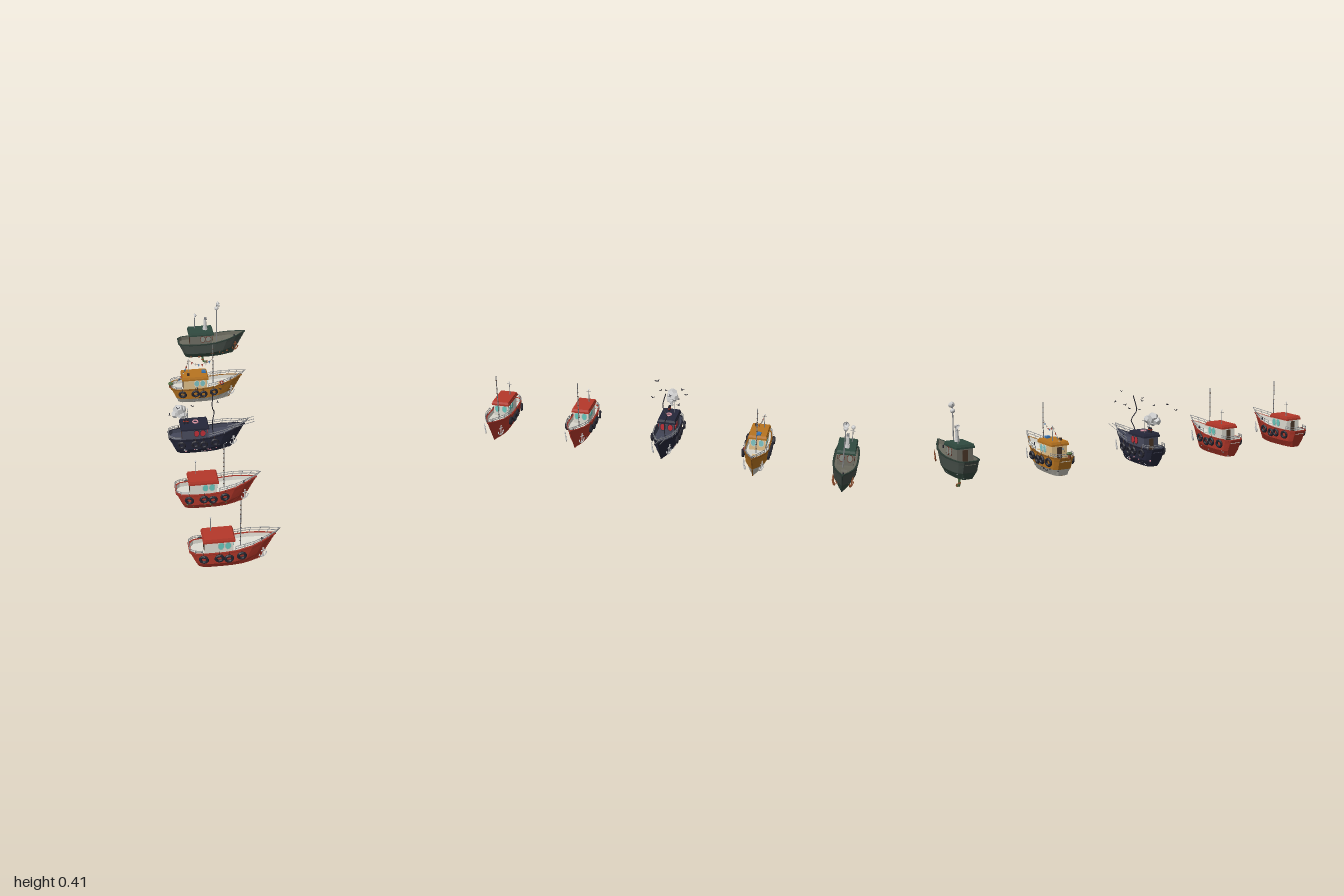
import * as THREE from 'three';

const { lerp } = THREE.MathUtils;
const mat = (color) => new THREE.MeshStandardMaterial({ color, flatShading: true, side: THREE.DoubleSide });
const GREY = mat(0xcccccc), STEEL = mat(0x85878a), DARK = mat(0x24242e), WOOD = mat(0x4a3528), RED = mat(0xb5382a),
  WHITE = mat(0xdedcd2), TEAL = mat(0x68c8bd), BLUE = mat(0x3a78b8), RUST = mat(0x8a4a2a), GREEN = mat(0x4f6a3f), PINK = mat(0xd08a98);

function add(parent, name, geo, material, x = 0, y = 0, z = 0) {
  const m = new THREE.Mesh(geo, material);
  m.name = name;
  m.position.set(x, y, z);
  parent.add(m);
  return m;
}
const box = (w, h, d) => new THREE.BoxGeometry(w, h, d);
const cyl = (r1, r2, h, n = 8) => new THREE.CylinderGeometry(r1, r2, h, n);
const V = (p) => new THREE.Vector3(...p);
const tube = (pts, r, tension = 0.5, n = 24) =>
  new THREE.TubeGeometry(new THREE.CatmullRomCurve3(pts.map(V), false, 'catmullrom', tension), n, r, 5);
function seeded(s) { return () => (s = (s * 16807) % 2147483647) / 2147483647; }

// Hull shape: u runs stern to bow, f runs keel to sheer
const STATIONS = [[0, .034], [.06, .052], [.2, .06], [.4, .061], [.55, .06], [.72, .051], [.87, .029], [.95, .012], [1, .001]];
const sheer = (u) => 0.137 + 0.041 * Math.pow(Math.max(0, (u - 0.4) / 0.6), 1.4);
function topWidth(u) {
  let i = 0;
  while (i < STATIONS.length - 2 && u > STATIONS[i + 1][0]) i++;
  const [a, b] = [STATIONS[i], STATIONS[i + 1]];
  return lerp(a[1], b[1], (u - a[0]) / (b[0] - a[0]));
}
function hullPoint(u, f) {
  const s = f < .36 ? lerp(.6, .94, f / .36) : lerp(.94, 1, (f - .36) / .64);
  return [lerp(lerp(-.225, -.265, f), lerp(.055, .125, f), u), lerp(.043, sheer(u), f), topWidth(u) * s];
}
// Row of outline points: [f, sideways offset, height offset]
function row([f, out, up]) {
  const port = STATIONS.map(([u]) => {
    const [x, y, w] = hullPoint(u, f);
    return [x + (u === 0 ? -out : u === 1 ? out * 1.5 : 0), y + up, Math.max(.0008, w + out)];
  });
  return [...port, ...port.slice().reverse().map(([x, y, z]) => [x, y, -z])];
}
function loft(specs, cap) {
  const rows = specs.map(row), n = rows[0].length, pos = [];
  const quad = (a, b, c, d) => pos.push(...a, ...b, ...c, ...a, ...c, ...d);
  for (let k = 0; k < rows.length - 1; k++)
    for (let i = 0; i < n; i++) {
      const j = (i + 1) % n;
      quad(rows[k][i], rows[k][j], rows[k + 1][j], rows[k + 1][i]);
    }
  if (cap) {
    const r = cap === 'top' ? rows[rows.length - 1] : rows[0];
    for (let i = 0; i < n / 2 - 1; i++) {
      const q = [r[i], r[i + 1], r[n - 2 - i], r[n - 1 - i]];
      quad(...(cap === 'top' ? q : q.reverse()));
    }
  }
  const g = new THREE.BufferGeometry();
  g.setAttribute('position', new THREE.Float32BufferAttribute(pos, 3));
  g.computeVertexNormals();
  return g;
}

function railing(boat, name, us, lift, bowOut, material) {
  const at = (u, side, h) => {
    const [x, y, w] = hullPoint(u, 1);
    return [x + bowOut * Math.max(0, u - .6) / .4 * h / lift, y + h, side * w];
  };
  const ends = name === 'bowRail' ? us : us.slice().reverse();
  for (const h of [lift, lift * .55]) {
    const path = [...ends.map((u) => at(u, 1, h)), ...ends.slice().reverse().map((u) => at(u, -1, h))];
    add(boat, name, tube(path, .0016, .1, 36), material);
  }
  for (const u of us) for (const s of [1, -1])
    add(boat, name + 'Post', tube([at(u, s, 0), at(u, s, lift)], .0015, .5, 1), material);
}

function anchor(boat, side, material) {
  const g = new THREE.Group();
  g.name = 'anchor';
  add(g, 'anchorShank', cyl(.003, .003, .046, 6), material);
  add(g, 'anchorStock', box(.022, .004, .004), material, 0, .014);
  add(g, 'anchorRing', new THREE.TorusGeometry(.005, .0015, 5, 8), material, 0, .027);
  add(g, 'anchorArms', new THREE.TorusGeometry(.018, .003, 5, 10, Math.PI), material, 0, -.006).rotation.z = Math.PI;
  for (const s of [1, -1]) add(g, 'anchorFluke', new THREE.ConeGeometry(.005, .011, 4), material, s * .018, -.003);
  g.position.set(.064, .107, side * .044);
  g.rotation.set(side * .12, side * .42, 0);
  boat.add(g);
}

function cabin(boat, o) {
  add(boat, 'cabin', box(.127, .085, .082), mat(o.wall), -.134, .147, 0);
  add(boat, 'roofEdge', box(.145, .009, .096), mat(o.roof), -.134, .19, 0);
  const top = cyl(.66, .7071, 1, 4).rotateY(Math.PI / 4).scale(.143, .011, .094);
  add(boat, 'roof', top, mat(o.roof), -.134, .2, 0);
  // Eight-sided windows with frames, on both sides and the front
  const pane = (d, k) => cyl(.5, .5, 1, 8).rotateY(Math.PI / 8).rotateX(Math.PI / 2).scale(.026 * k, .037 * k, d);
  const window = (x, z, ry) => {
    add(boat, 'windowFrame', pane(.004, 1.2), mat(o.frame), x, .163, z).rotation.y = ry;
    add(boat, 'windowPane', pane(.006, 1), mat(o.glass), x, .163, z).rotation.y = ry;
  };
  for (const s of [1, -1]) for (const x of [-.126, -.094]) window(x, s * .0415, 0);
  for (const z of [-.02, .02]) window(-.07, z, Math.PI / 2);
  add(boat, 'cabinDoor', box(.003, .058, .026), WOOD, -.198, .15, 0);
  // Small signal mast on the roof
  add(boat, 'roofMast', cyl(.0015, .0025, .08, 6), STEEL, -.165, .243, -.02);
  add(boat, 'roofMastLamp', new THREE.ConeGeometry(.005, .007, 6), GREY, -.165, .282, -.02);
  add(boat, 'roofMastSpar', box(.002, .002, .024), STEEL, -.165, .268, -.02);
}

function makeBoat(name, o) {
  const boat = new THREE.Group();
  boat.name = name;
  add(boat, 'lowerHull', loft([[0, 0, 0], [.36, 0, 0]], 'bottom'), mat(o.lower));
  add(boat, 'upperHull', loft([[.36, 0, 0], [.8, 0, 0], [1, 0, -.004]]), mat(o.hull));
  add(boat, 'gunwale', loft([[1, 0, -.005], [1, .003, -.004], [1, .003, .001], [1, -.006, .001]]), mat(o.trim));
  add(boat, 'deck', loft([[1, -.006, .001], [1, -.007, -.02]], 'top'), mat(o.deck));
  add(boat, 'keelStrip', box(.27, .004, .008), mat(o.trim), -.085, .043, 0);
  const stem = [0, .36, 1].map((f) => { const p = hullPoint(1, f); return [p[0], p[1], 0]; });
  add(boat, 'stem', tube(stem, .003, .1, 8), mat(o.trim));
  cabin(boat, o);
  if (!o.noRails) {
    railing(boat, 'bowRail', [.52, .62, .72, .82, .91, 1], .026, .022, STEEL);
    railing(boat, 'sternRail', [0, .06, .14], .019, 0, STEEL);
  }
  // Tyre fenders hung along both sides
  if (!o.noTyres) for (const s of [1, -1]) for (const [x, y] of [[-.207, .113], [-.136, .113], [-.093, .107], [-.035, .117]]) {
    const t = add(boat, 'tyre', new THREE.TorusGeometry(.0165, .0068, 6, 12), DARK, x, y, s * .066);
    t.rotation.set(s * .1, x < -.2 ? -s * .25 : 0, x * 9);
    add(boat, 'tyreRope', cyl(.001, .001, .02, 4), WOOD, x, y + .027, s * .064);
  }
  for (const s of [1, -1]) anchor(boat, s, o.rusty ? RUST : GREY);
  // Main mast with bands, straight or crooked
  const mast = o.bentMast ? [[-.035, .11, 0], [-.04, .2, .004], [-.028, .25, -.012], [-.042, .3, .014], [-.036, .375, -.004]]
    : o.noMast ? null : [[-.032, .11, 0], [-.032, .24, 0], [-.032, .377, 0]];
  if (mast) {
    add(boat, 'mast', tube(mast, .0026, .3, 16), o.bentMast ? DARK : STEEL);
    if (!o.bentMast) for (let y = .15; y < .37; y += .025) add(boat, 'mastBand', cyl(.0035, .0035, .003, 6), WOOD, -.032, y, 0);
  }
  add(boat, 'deckHatch', box(.03, .012, .03), mat(o.wall), .01, .128, 0);
  add(boat, 'bollard', cyl(.004, .004, .025, 6), DARK, .065, .145, 0);
  // Barnacles and patches scattered on the hull
  const rnd = seeded(o.seed);
  for (let i = 0; i < (o.barnacles || 0); i++) {
    const [x, y, w] = hullPoint(rnd() * .85, .05 + rnd() * .35), r = .003 + rnd() * .004;
    const b = add(boat, 'barnacle', new THREE.IcosahedronGeometry(r, 0), o.spots[i % o.spots.length], x, y, (i % 2 ? 1 : -1) * w);
    b.scale.z = .6;
  }
  boat.position.set(...o.at);
  return boat;
}

function birdsAndSmoke(boat) {
  const birds = [[-.267, .325, .1], [-.223, .348, .08], [-.185, .33, -.06], [-.147, .334, .05], [-.102, .357, .01],
    [-.102, .345, -.095], [-.086, .321, -.06], [-.022, .354, .06], [.013, .343, -.08], [.019, .393, -.04]];
  birds.forEach((p, i) => {
    const g = new THREE.Group();
    g.name = 'bird';
    add(g, 'birdBody', new THREE.ConeGeometry(.0025, .013, 5).rotateZ(-Math.PI / 2), DARK);
    for (const s of [1, -1]) add(g, 'birdWing', box(.005, .001, .011), DARK, 0, .002, s * .005).rotation.x = -s * .5;
    g.position.set(...p);
    g.rotation.y = i * 1.3;
    boat.add(g);
  });
  for (const [x, y, z, r] of [[-.213, .287, 0, .03], [-.23, .272, .012, .022], [-.195, .28, -.014, .024], [-.2, .262, .012, .02],
    [-.182, .257, 0, .014], [-.18, .242, -.004, .009]])
    add(boat, 'smokePuff', new THREE.DodecahedronGeometry(r, 0), GREY, x, y, z).rotation.set(x * 20, y * 9, 0);
  for (const x of [-.184, -.168]) {
    add(boat, 'exhaust', cyl(.006, .005, .03), DARK, x, .217, .008);
    add(boat, 'exhaustBand', cyl(.0068, .0068, .005), RED, x, .222, .008);
  }
  add(boat, 'lifeRing', new THREE.TorusGeometry(.013, .004, 6, 12).rotateX(Math.PI / 2), PINK, -.127, .209, 0);
  // Harpoons over the bow
  for (const z of [-.022, 0, .022]) add(boat, 'harpoon', tube([[.04, .165, z * 1.3], [.178, .198, z]], .0018, .5, 1), STEEL);
}

function bunting(boat) {
  const path = new THREE.QuadraticBezierCurve3(V([-.032, .29, 0]), V([-.1, .225, 0]), V([-.165, .28, -.02]));
  const path2 = new THREE.QuadraticBezierCurve3(V([-.165, .28, -.02]), V([-.18, .22, 0]), V([-.235, .16, .01]));
  [path, path2].forEach((c, k) => {
    add(boat, 'buntingLine', new THREE.TubeGeometry(c, 16, .0008, 4), WOOD);
    for (let i = 1; i < 7; i++) {
      const p = c.getPoint(i / 7);
      const flag = new THREE.ConeGeometry(.007, .014, 3).scale(1, -1, .15);
      add(boat, 'flag', flag, [RED, BLUE, WHITE][(i + k) % 3], p.x, p.y - .007, p.z);
    }
  });
  add(boat, 'roofCrate', box(.022, .012, .022), BLUE, -.083, .21, -.004);
  add(boat, 'roofBasket', cyl(.008, .006, .014), WOOD, -.17, .212, .022);
  add(boat, 'plantPot', cyl(.01, .007, .02), RUST, -.268, .142, .015);
  for (let i = 0; i < 5; i++) add(boat, 'leaves', new THREE.IcosahedronGeometry(.008, 0), GREEN, -.268 + .007 * Math.cos(i * 1.26), .158, .015 + .007 * Math.sin(i * 1.26));
  for (const s of [1, -1]) for (const u of [.6, .7]) {
    const [x, y, w] = hullPoint(u, 1);
    add(boat, 'lifeRing', new THREE.TorusGeometry(.009, .003, 6, 12), s * u > .65 ? RED : WHITE, x, y + .014, s * (w + .002));
  }
}

function pipeAndFunnel(boat) {
  // Periscope pipe under the hull
  add(boat, 'underPipe', tube([[-.122, .05, 0], [-.122, .012, 0], [-.116, -.009, 0], [-.097, -.0125, 0]], .006, .4, 16), GREEN);
  for (const y of [.03, .005]) add(boat, 'pipeCollar', cyl(.0085, .0085, .005), RUST, -.122, y, 0);
  add(boat, 'pipeMouth', cyl(.0085, .0085, .005).rotateZ(Math.PI / 2), RUST, -.097, -.0115, 0);
  // Funnel, tall lamp mast and dish
  add(boat, 'funnelBase', cyl(.012, .015, .02), GREY, -.107, .212, 0);
  add(boat, 'funnel', cyl(.007, .01, .05), GREY, -.107, .245, 0);
  add(boat, 'funnelCap', box(.014, .012, .014), STEEL, -.104, .275, 0);
  add(boat, 'lampMast', cyl(.0025, .0035, .265, 6), STEEL, -.041, .243, .01);
  add(boat, 'lampGlobe', new THREE.IcosahedronGeometry(.012, 1), GREY, -.041, .342, .01);
  const dish = new THREE.SphereGeometry(.016, 10, 5, 0, Math.PI * 2, 0, Math.PI / 2);
  add(boat, 'topDish', dish, GREY, -.027, .37, .01).rotation.z = 1.9;
  add(boat, 'topDishHorn', new THREE.ConeGeometry(.004, .02, 6), STEEL, -.035, .37, .01).rotation.z = 1.9;
  add(boat, 'roofDish', dish.clone().scale(.7, .7, .7), GREY, -.165, .288, -.02).rotation.z = -1;
}

export function createModel() {
  const fleet = new THREE.Group();
  fleet.name = 'fishingBoats';
  const red = { hull: 0xb5382a, lower: 0xb5382a, trim: 0x9c2f24, deck: 0xdedcd2, wall: 0xdedcd2, roof: 0xb5382a, frame: 0xb9c4bd, glass: 0x68c8bd };
  fleet.add(makeBoat('redBoat', { ...red, seed: 11, at: [0, 0, .917] }));
  fleet.add(makeBoat('wornRedBoat', { ...red, seed: 23, barnacles: 14, spots: [STEEL, GREEN], at: [-.012, 0, .475] }));
  const navy = makeBoat('navyBoat', { hull: 0x25273a, lower: 0x25273a, trim: 0x1c1d2a, deck: 0x45485a, wall: 0x4a4c5e, roof: 0x25273a,
    frame: 0x2a2a35, glass: 0xc03038, seed: 37, barnacles: 36, spots: [PINK, GREY, DARK], bentMast: true, at: [.004, 0, .005] });
  birdsAndSmoke(navy);
  const orange = makeBoat('orangeBoat', { hull: 0xb87420, lower: 0xc4c2b8, trim: 0x8a5418, deck: 0xdedcd2, wall: 0xe0c08a, roof: 0xb87420,
    frame: 0xdedcd2, glass: 0x7fc4c4, seed: 51, barnacles: 20, spots: [DARK, STEEL], at: [.066, 0, -.483] });
  bunting(orange);
  const green = makeBoat('greenBoat', { hull: 0x454e48, lower: 0x35493e, trim: 0x2b3a33, deck: 0x6d6c60, wall: 0x6f6e64, roof: 0x2f4a3f,
    frame: 0x6a3226, glass: 0x8a8f86, seed: 77, barnacles: 16, spots: [STEEL, RUST], rusty: true, noTyres: true, noRails: true, noMast: true,
    at: [.157, .02, -.937] });
  pipeAndFunnel(green);
  fleet.add(navy, orange, green);
  return fleet;
}
